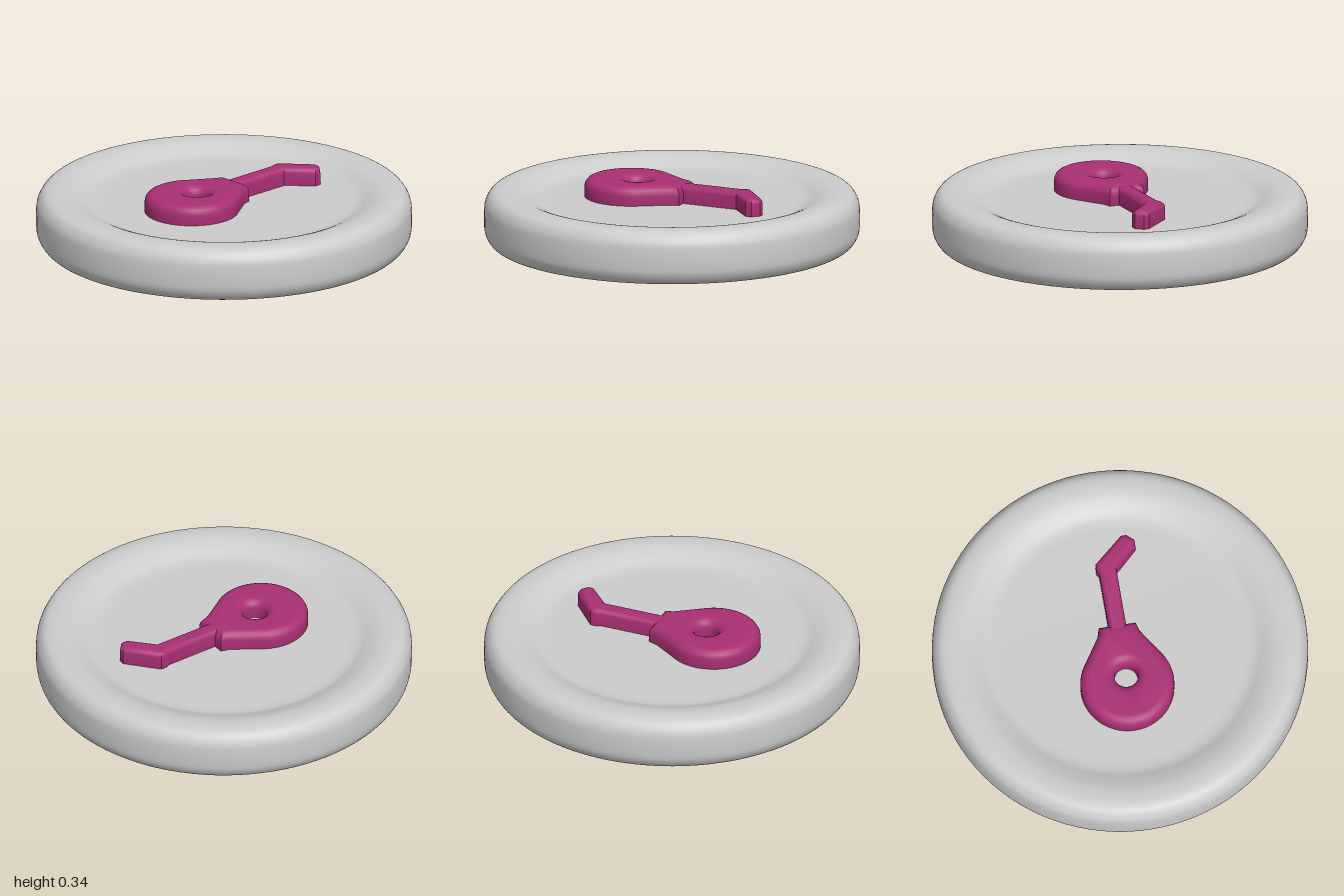
import * as THREE from 'three';
import { toCreasedNormals } from 'three/addons/utils/BufferGeometryUtils.js';

const stone = new THREE.MeshStandardMaterial({ color: 0xcccccc });
const magenta = new THREE.MeshStandardMaterial({ color: 0xa82f72 });

// Raised relief with rounded edges; outline is drawn as (x, -z)
function relief(name, shape, bevel, top) {
  const base = 0.2;
  const geometry = new THREE.ExtrudeGeometry(shape, {
    depth: top - base - 2 * bevel,
    bevelThickness: bevel,
    bevelSize: bevel,
    bevelOffset: -bevel,
    bevelSegments: 5,
    curveSegments: 40,
  });
  geometry.rotateX(-Math.PI / 2).translate(0, base + bevel, 0);
  const mesh = new THREE.Mesh(toCreasedNormals(geometry, 0.6), magenta);
  mesh.name = name;
  return mesh;
}

export function createModel() {
  const model = new THREE.Group();
  model.name = 'disc';

  // Round disc: soft thick rim, shallow recess above and below
  const mid = 0.155;
  const lower = [[0.66, 0.062], [0.72, 0.055], [0.78, 0.029], [0.84, 0.01],
    [0.91, 0.007], [0.96, 0.022], [0.99, 0.062], [1, 0.11]]
    .map(([r, y]) => new THREE.Vector2(r, y));
  const upper = lower.map((p) => new THREE.Vector2(p.x, 2 * mid - p.y)).reverse();
  const rim = new THREE.SplineCurve([...lower, ...upper]).getPoints(60);
  const floorY = rim[0].y;
  const profile = [new THREE.Vector2(0, floorY), ...rim, new THREE.Vector2(0, 2 * mid - floorY)];
  const disc = new THREE.Mesh(new THREE.LatheGeometry(profile, 96), stone);
  disc.name = 'roundDisc';
  model.add(disc);

  // Pear-shaped ring with a flat shoulder and a round hole
  const ring = new THREE.Shape();
  ring.moveTo(0.1, 0.09);
  ring.lineTo(0.115, 0.04);
  ring.absarc(0, -0.24, 0.25, 0.64, Math.PI - 0.64, true);
  ring.lineTo(-0.115, 0.04);
  ring.lineTo(-0.1, 0.09);
  ring.closePath();
  const hole = new THREE.Path();
  hole.absarc(0, -0.2, 0.062, 0, Math.PI * 2, false);
  ring.holes.push(hole);

  // Straight stem with a bent tip
  const stem = new THREE.Shape([[0.047, 0.04], [0.047, 0.4], [0.168, 0.515], [0.168, 0.55],
    [0.13, 0.583], [0.1, 0.583], [-0.058, 0.445], [-0.058, 0.41], [-0.047, 0.39], [-0.047, 0.04]]
    .map(([x, y]) => new THREE.Vector2(x, y)));

  const emblem = new THREE.Group();
  emblem.name = 'raisedOrnament';
  emblem.add(relief('ring', ring, 0.05, 0.35), relief('bentStem', stem, 0.03, 0.345));
  model.add(emblem);

  return model;
}
